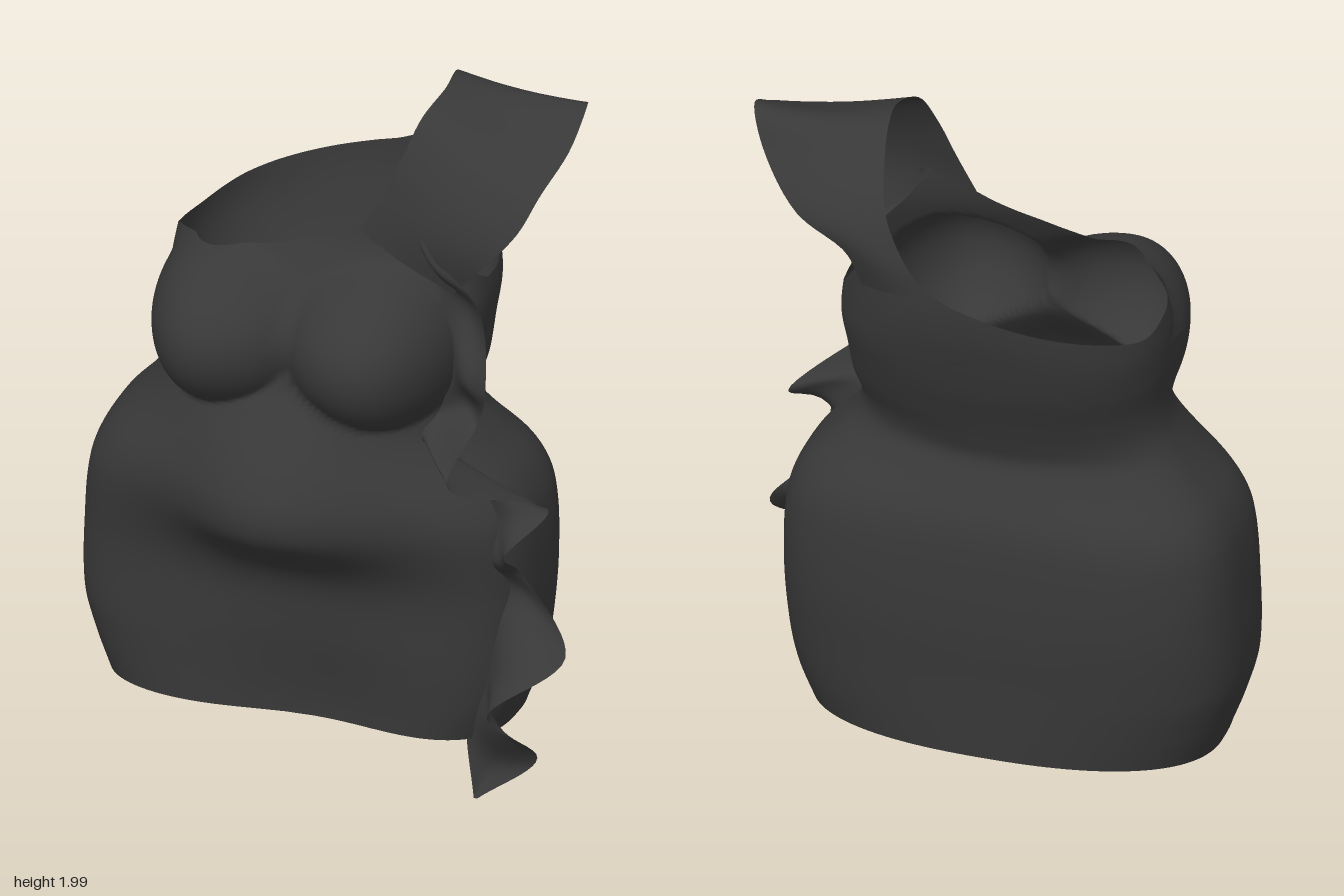
import * as THREE from 'three';

// Smooth interpolation through rows [key, value, value, ...]
function sample(rows, k, c) {
  const last = rows.length - 1;
  if (k <= rows[0][0]) return rows[0][c];
  if (k >= rows[last][0]) return rows[last][c];
  let i = 0;
  while (rows[i + 1][0] < k) i++;
  const slope = (j) => {
    const a = rows[Math.max(j - 1, 0)], b = rows[Math.min(j + 1, last)];
    return (b[c] - a[c]) / (b[0] - a[0]);
  };
  const h = rows[i + 1][0] - rows[i][0], t = (k - rows[i][0]) / h;
  const t2 = t * t, t3 = t2 * t;
  return (2 * t3 - 3 * t2 + 1) * rows[i][c] + (t3 - 2 * t2 + t) * h * slope(i)
    + (3 * t2 - 2 * t3) * rows[i + 1][c] + (t3 - t2) * h * slope(i + 1);
}

// Surface from a rule point(u, v); closed wraps the columns
function grid(cols, rows, closed, point) {
  const pos = [], index = [], n = closed ? cols : cols + 1;
  for (let j = 0; j <= rows; j++)
    for (let i = 0; i < n; i++) pos.push(...point(i / cols, j / rows));
  for (let j = 0; j < rows; j++)
    for (let i = 0; i < cols; i++) {
      const a = j * n + i, b = j * n + (i + 1) % n;
      index.push(a, a + n, b, b, a + n, b + n);
    }
  const g = new THREE.BufferGeometry();
  g.setAttribute('position', new THREE.Float32BufferAttribute(pos, 3));
  g.setIndex(index);
  g.computeVertexNormals();
  return g;
}

// Dress sections: y, min x, max x, front z, back z, squareness of front and back
const SECTIONS = [
  [0.17, -0.64, 0.49, 0.27, -0.39, 3.2, 2.3], [0.28, -0.68, 0.53, 0.265, -0.395, 3.4, 2.5],
  [0.4, -0.71, 0.55, 0.26, -0.4, 3.6, 2.7], [0.6, -0.71, 0.56, 0.255, -0.41, 3.7, 2.9],
  [0.8, -0.69, 0.55, 0.29, -0.4, 3.4, 2.9], [0.9, -0.65, 0.51, 0.31, -0.38, 2.8, 2.7],
  [1.0, -0.565, 0.42, 0.31, -0.33, 2.3, 2.3], [1.06, -0.52, 0.375, 0.3, -0.305, 2.15, 2.15],
  [1.12, -0.49, 0.36, 0.28, -0.32, 2.15, 2.15], [1.2, -0.48, 0.38, 0.25, -0.35, 2.2, 2.3],
  [1.3, -0.49, 0.39, 0.24, -0.39, 2.3, 2.4], [1.4, -0.49, 0.4, 0.21, -0.42, 2.3, 2.5],
  [1.5, -0.475, 0.39, 0.15, -0.445, 2.3, 2.4], [1.6, -0.46, 0.38, 0.1, -0.455, 2.3, 2.3],
  [1.72, -0.44, 0.38, 0.08, -0.445, 2.3, 2.3],
];
// Height of the neckline around the body, in degrees from the left side
const RIM = [
  [0, 1.46], [20, 1.52], [40, 1.6], [55, 1.68], [70, 1.655], [82, 1.61], [102, 1.55],
  [133, 1.52], [160, 1.5], [175, 1.47], [195, 1.45], [220, 1.49], [250, 1.545],
  [272, 1.6], [290, 1.68], [303, 1.73], [322, 1.6], [338, 1.5], [350, 1.46], [360, 1.46],
];

function bodyPoint(u, v) {
  const ang = u * Math.PI * 2, c = Math.cos(ang), s = Math.sin(ang);
  const hem = 0.165 + 0.022 * Math.abs(s);
  const y = hem + (sample(RIM, u * 360, 1) - hem) * v;
  const [x0, x1, zf, zb, sqFront, sqBack] = [1, 2, 3, 4, 5, 6].map((k) => sample(SECTIONS, y, k));
  const cz = -0.07, e = 2 / (s > 0 ? sqFront : sqBack);
  const x = (x0 + x1) / 2 + (x1 - x0) / 2 * Math.sign(c) * Math.abs(c) ** e;
  let z = cz + (s > 0 ? zf - cz : cz - zb) * Math.sign(s) * Math.abs(s) ** e;
  if (s > 0) {
    // belly bulge, steeper underneath, and a shallow dip at the hem
    const dy = (y - 0.84) / (y < 0.84 ? 0.14 : 0.26);
    const dx = (x + 0.06) / (x < -0.06 ? 0.27 : 0.31);
    z += 0.16 * s * Math.exp(-dx * dx - dy * dy);
    z -= 0.06 * s * Math.exp(-(((x - 0.02) / 0.28) ** 2) - ((y - 0.17) / 0.25) ** 2);
    // rounded bust with a fold below, blended softly above
    const soft = 0.004 + 0.4 * Math.min(Math.max(y - 1.31, 0), 0.15);
    for (const [bx, toward] of [[-0.28, 1], [0.165, -1]]) {
      const bu = (x - bx) / ((x - bx) * toward > 0 ? 0.3 : 0.215);
      const bv = (y - 1.31) / (y < 1.31 ? 0.265 : 0.235);
      const dome = 0.385 * Math.sqrt(Math.max(0, 1 - bu * bu - bv * bv));
      const blend = Math.max(soft - Math.abs(z - dome), 0);
      if (dome > 0) z = Math.max(z, dome) + blend * blend / soft / 4;
    }
  }
  return [x, y, z];
}

// Ribbon between two edge curves, with a bend rule
function ribbon(edgeA, edgeB, across, along, bend) {
  const [a, b] = [edgeA, edgeB].map((e) =>
    new THREE.CatmullRomCurve3(e.map((p) => new THREE.Vector3(...p))));
  return grid(across, along, false, (u, v) => {
    const p = a.getPoint(v).lerp(b.getPoint(v), u);
    bend(p, u, v);
    return [p.x, p.y, p.z];
  });
}

export function createModel() {
  const group = new THREE.Group();
  const fabric = new THREE.MeshStandardMaterial({ color: 0x383838, side: THREE.DoubleSide });
  fabric.name = 'charcoal fabric';
  const add = (name, geometry) => {
    const m = new THREE.Mesh(geometry, fabric);
    m.name = name;
    group.add(m);
  };

  add('dressBody', grid(144, 100, true, bodyPoint));

  // Broad strap over the left shoulder, front to back
  add('shoulderStrap', ribbon(
    [[0.09, 1.62, 0.09], [0.155, 1.74, 0.085], [0.2, 1.85, 0.065], [0.235, 1.95, 0.01], [0.26, 1.99, -0.1],
      [0.25, 1.99, -0.2], [0.23, 1.93, -0.3], [0.19, 1.83, -0.41], [0.13, 1.72, -0.445], [0.06, 1.62, -0.45]],
    [[0.37, 1.5, 0.12], [0.48, 1.63, 0.16], [0.56, 1.73, 0.14], [0.6, 1.82, 0.08], [0.635, 1.9, -0.05],
      [0.63, 1.97, -0.2], [0.58, 1.88, -0.27], [0.45, 1.77, -0.38], [0.3, 1.7, -0.42], [0.26, 1.6, -0.405]],
    14, 50, (p, u, v) => {
      const bow = Math.sin(Math.PI * u), top = Math.sin(Math.PI * v);
      p.y -= 0.015 * bow * top ** 4;
      p.z += 0.015 * bow * Math.cos(Math.PI * v);
    }));

  // Rippling frill down the left front seam
  add('sideRuffle', ribbon(
    [[0.23, 1.68, 0.1], [0.33, 1.5, 0.12], [0.36, 1.3, 0.11], [0.33, 1.14, 0.12], [0.3, 1.08, 0.18],
      [0.39, 0.98, 0.1], [0.47, 0.82, 0.13], [0.48, 0.7, 0.15], [0.49, 0.54, 0.14], [0.47, 0.38, 0.15],
      [0.42, 0.22, 0.15], [0.45, 0.01, 0.18]],
    [[0.34, 1.62, 0.17], [0.45, 1.47, 0.14], [0.47, 1.22, 0.15], [0.43, 1.1, 0.11], [0.44, 1.03, 0.34],
      [0.645, 0.9, 0.13], [0.57, 0.81, 0.26], [0.58, 0.7, 0.15], [0.72, 0.5, 0.2], [0.55, 0.36, 0.34],
      [0.64, 0.18, 0.2], [0.46, 0.01, 0.18]],
    10, 110, (p, u, v) => {
      p.z += 0.03 * Math.sin(Math.PI * u) * Math.sin(v * Math.PI * 14);
    }));

  return group;
}
